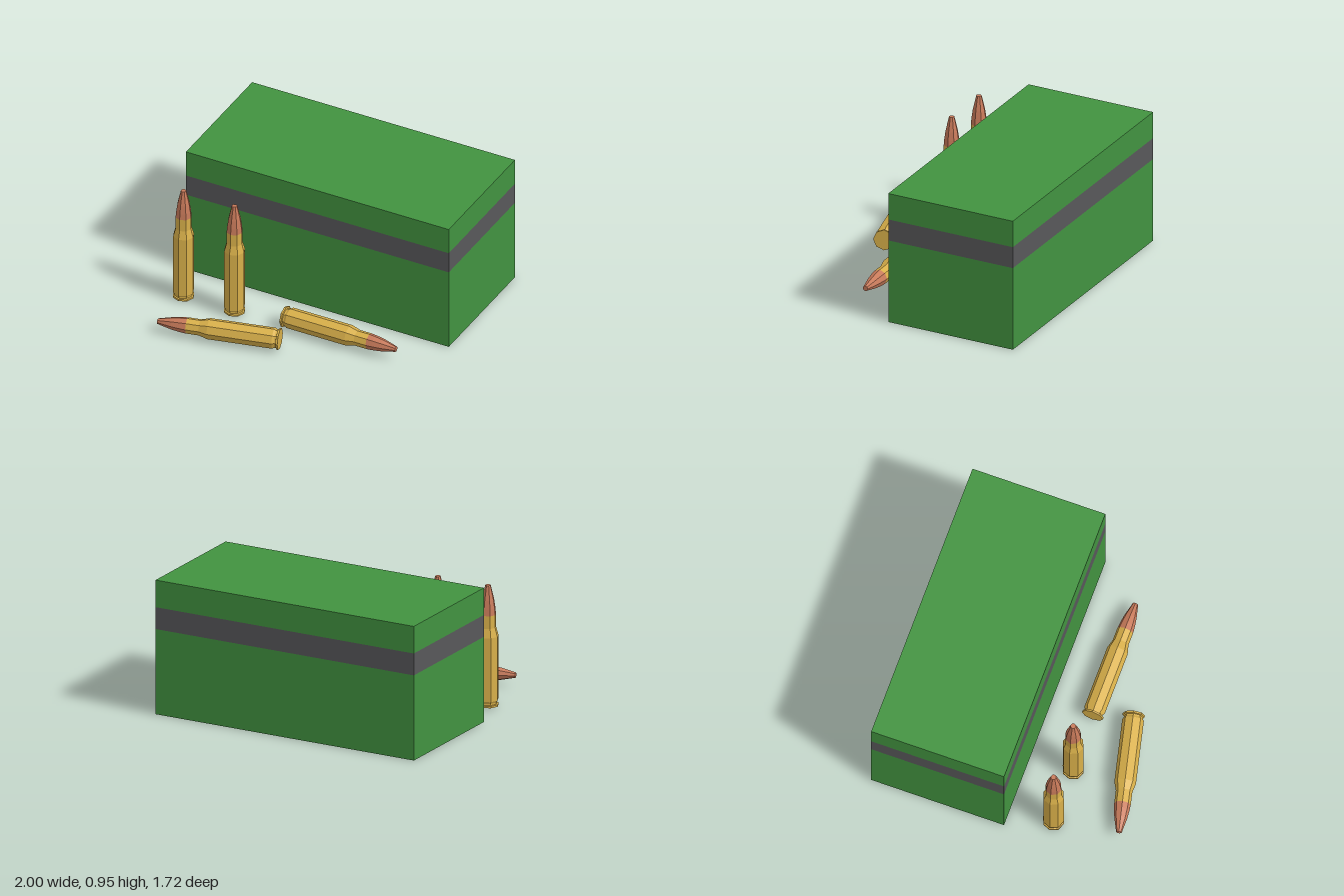
import * as THREE from 'three';

const mat = (color, flatShading = false) => new THREE.MeshStandardMaterial({ color, flatShading });
const green = mat(0x429340);
const grey = mat(0x58585a);
const brass = mat(0xd9b04a, true);
const copper = mat(0xc87a5a, true);

// One horizontal section of the box, without the faces hidden inside
function boxSection(name, y0, y1, material, top, bottom) {
  const geo = new THREE.BoxGeometry(2, y1 - y0, 0.95);
  const index = Array.from(geo.index.array);
  // face order: +x, -x, +y, -y, +z, -z, six indices each
  geo.setIndex(index.filter((_, i) => {
    const face = Math.floor(i / 6);
    return (face !== 2 || top) && (face !== 3 || bottom);
  }));
  geo.clearGroups();
  const mesh = new THREE.Mesh(geo, material);
  mesh.name = name;
  mesh.position.set(0, (y0 + y1) / 2, -0.393);
  return mesh;
}

// Eight-sided turned part from [radius, height] pairs
function turned(name, profile, material) {
  const points = profile.map(([r, y]) => new THREE.Vector2(r, y));
  const mesh = new THREE.Mesh(new THREE.LatheGeometry(points, 8), material);
  mesh.name = name;
  return mesh;
}

// Cartridge standing on its base, pointing along +y
function cartridge(name) {
  const group = new THREE.Group();
  group.name = name;
  group.add(
    // rim, groove, body, shoulder and neck
    turned('case', [[0, 0], [0.075, 0], [0.075, 0.013], [0.064, 0.016], [0.064, 0.027],
      [0.073, 0.042], [0.073, 0.493], [0.056, 0.555], [0.056, 0.645]], brass),
    turned('bullet', [[0.056, 0.645], [0.052, 0.69], [0.043, 0.75], [0.019, 0.85], [0, 0.85]], copper),
  );
  return group;
}

export function createModel() {
  const model = new THREE.Group();
  model.name = 'ammunitionBox';

  // Box with a grey band around it
  model.add(
    boxSection('boxBody', 0, 0.603, green, false, true),
    boxSection('boxBand', 0.603, 0.758, grey, false, false),
    boxSection('boxLid', 0.758, 0.95, green, true, false),
  );

  // Two standing and two lying cartridges
  const placements = [
    ['standingCartridgeOuter', [-0.858, 0.01, 0.385], [0, 0, 0]],
    ['standingCartridgeInner', [-0.47, 0.01, 0.385], [0, 0, 0]],
    ['lyingCartridgeStraight', [-0.09, 0.085, 0.385], [0, 0, -Math.PI / 2]],
    ['lyingCartridgeAngled', [0.013, 0.085, 0.643], [0, 0.23, Math.PI / 2]],
  ];
  for (const [name, position, rotation] of placements) {
    const c = cartridge(name);
    c.position.set(...position);
    c.rotation.set(...rotation);
    model.add(c);
  }
  return model;
}
